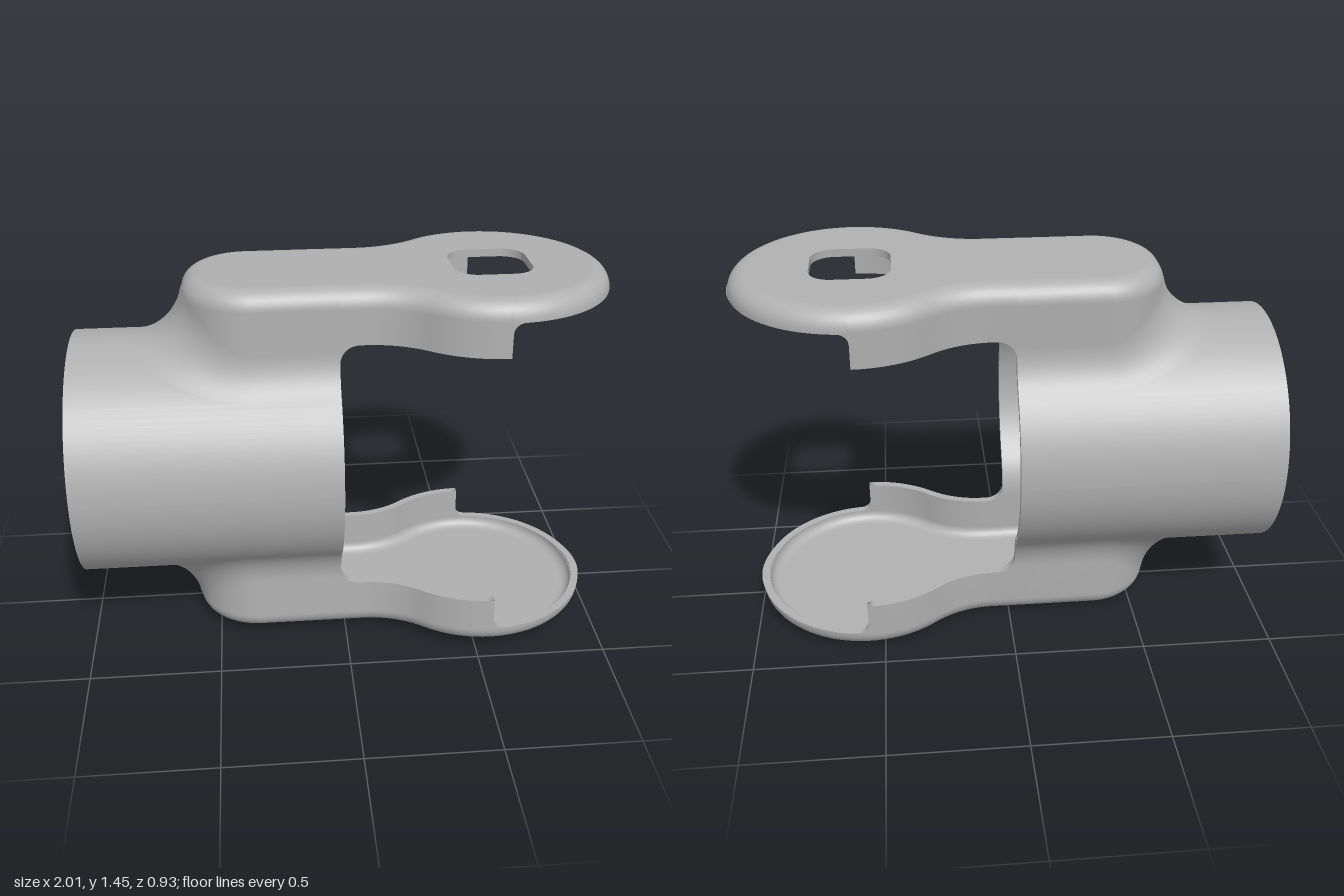
import * as THREE from 'three';

const TUBE = 0.465, WALL = 0.03, BLEND = 0.22;   // tube radius, shell thickness, blend radius
const TOP = 0.71, ROUND = 0.07, RIM = 0.64;      // arm height, edge rounding, height where it starts
const NECK = 0.27, HEAD = 0.44, HEAD_X = 0.56, FRONT = -0.02;

// Closed or open surface through columns of points
function grid(cols, closed = true, flip = false) {
  const n = cols.length, m = cols[0].length, index = [];
  for (let i = 0; i < (closed ? n : n - 1); i++) {
    for (let j = 0; j < m - 1; j++) {
      const a = i * m + j, b = ((i + 1) % n) * m + j;
      if (flip) index.push(a, b + 1, b, a, a + 1, b + 1);
      else index.push(a, b, b + 1, a, b + 1, a + 1);
    }
  }
  const g = new THREE.BufferGeometry();
  g.setAttribute('position', new THREE.Float32BufferAttribute(cols.flat(2), 3));
  g.setIndex(index);
  g.computeVertexNormals();
  return g;
}

// Half of the arm's plan outline, rear to tip: position, outward normal, lower edge height
function halfOutline() {
  const pts = [];
  const add = (x, z, nx, nz, bottom) => pts.push({ x, z, nx, nz, bottom });
  const skirt = 0.505, cr = 0.24;
  // rounded rear end
  add(-0.58, 0, -1, 0, 0);
  for (let i = 0; i <= 16; i++) {
    const a = (i / 16) * Math.PI / 2;
    add(-0.58 + cr - cr * Math.cos(a), NECK - cr + cr * Math.sin(a), -Math.cos(a), Math.sin(a), 0);
  }
  // neck, with the cut-out rising from the tube mouth to the skirt
  for (const b of [0, 0.33, 0.35, 0.37, 0.39, 0.41]) add(FRONT, NECK, 0, 1, b);
  for (let i = 0; i <= 8; i++) {
    const a = (i / 8) * Math.PI / 2;
    add(FRONT + 0.07 * (1 - Math.cos(a)), NECK, 0, 1, skirt - 0.07 + 0.07 * Math.sin(a));
  }
  // concave sweep into the round head
  const sx = 0.07, dx = HEAD_X - sx;
  const R = (dx * dx + NECK * NECK - HEAD * HEAD) / (2 * (HEAD - NECK));
  const end = Math.atan2(dx, NECK + R);
  for (let i = 0; i <= 12; i++) {
    const p = end * i / 12;
    add(sx + R * Math.sin(p), NECK + R - R * Math.cos(p), -Math.sin(p), Math.cos(p), skirt);
  }
  const head = (p, b) => add(HEAD_X - HEAD * Math.sin(p), HEAD * Math.cos(p), -Math.sin(p), Math.cos(p), b);
  for (let i = 1; i <= 10; i++) head(end * (1 - i / 10), skirt);
  // step up to the shallow rim
  const step = 0.04;
  for (let i = 0; i <= 6; i++) {
    const a = (i / 6) * Math.PI / 2;
    head(-step * (1 - Math.cos(a)) / HEAD, 0.595 + step * Math.sin(a));
  }
  const p0 = -step / HEAD;
  for (let i = 1; i <= 28; i++) head(p0 + (-Math.PI / 2 - p0) * i / 28, 0.635);
  return pts;
}

// Ball centre of the blend between arm wall and tube
function ball(p) {
  const x = p.x + BLEND * p.nx, z = p.z + BLEND * p.nz, r = TUBE + BLEND;
  return { x, z, y: Math.sqrt(Math.max(0.001, r * r - z * z)), angle: Math.asin(Math.min(1, z / r)) };
}

// One column of the arm shell, inset by d: blend, wall, rounded edge
function column(p, d) {
  const c = ball(p), R = BLEND + d, col = [];
  const by = -Math.cos(c.angle), bz = -Math.sin(c.angle);
  const omega = Math.acos(THREE.MathUtils.clamp(-p.nz * bz, -1, 1)), s = Math.sin(omega);
  const at = (y) => {
    const v = (c.y - y) * s / (R * -by);
    return v >= 1 ? omega : Math.min(omega, Math.asin(Math.max(0, v)));
  };
  const t1 = p.bottom === 0 ? omega : at(p.bottom), t0 = Math.min(t1, at(RIM));
  for (let i = 0; i <= 12; i++) {
    const t = t1 + (t0 - t1) * i / 12;
    const ka = Math.sin(omega - t) / s, kb = Math.sin(t) / s;
    col.push([c.x - R * ka * p.nx, Math.max(p.bottom, c.y + R * kb * by), c.z + R * (-ka * p.nz + kb * bz)]);
  }
  const r = ROUND - d;
  for (let i = 0; i <= 8; i++) {
    const a = (i / 8) * Math.PI / 2, inset = d + r * (1 - Math.cos(a));
    col.push([p.x - inset * p.nx, RIM + r * Math.sin(a), p.z - inset * p.nz]);
  }
  return col;
}

function makeArm(half, material, withHole) {
  const arm = new THREE.Group();
  const mirrored = half.slice(1, -1).reverse().map((p) => ({ ...p, z: -p.z, nz: -p.nz }));
  const loop = [...half, ...mirrored];
  const part = (name, g) => {
    const mesh = new THREE.Mesh(g, material);
    mesh.name = name;
    arm.add(mesh);
  };
  const outer = loop.map((p) => column(p, 0)), inner = loop.map((p) => column(p, WALL));
  part('armOuterShell', grid(outer));
  part('armInnerShell', grid(inner, true, true));
  part('armLowerEdge', grid(loop.map((p, i) => [inner[i][0], outer[i][0]])));

  // flat plate, optionally with a rounded square hole
  const pts = loop.map((p) => new THREE.Vector2(p.x - ROUND * p.nx, p.z - ROUND * p.nz))
    .filter((v, i, all) => i === 0 || v.distanceTo(all[i - 1]) > 1e-4);
  const shape = new THREE.Shape(pts);
  if (withHole) {
    const h = 0.147, r = 0.085, hole = new THREE.Path();
    [[1, 1], [-1, 1], [-1, -1], [1, -1]].forEach(([sx, sz], k) => {
      hole.absarc(HEAD_X + sx * (h - r), sz * (h - r), r, k * Math.PI / 2, (k + 1) * Math.PI / 2, false);
    });
    shape.holes.push(hole);
  }
  const plate = new THREE.ExtrudeGeometry(shape, { depth: WALL, bevelEnabled: false, curveSegments: 10 });
  plate.rotateX(-Math.PI / 2).translate(0, TOP - WALL, 0);
  part('armPlate', plate);
  return arm;
}

// Tube with an inner lip at the rear and openings where the arms blend in
function makeTube(half, material) {
  const tube = new THREE.Group();
  tube.name = 'tube';
  const quarter = half.filter((p) => p.bottom === 0).map((p) => {
    const c = ball(p);
    return [c.angle, c.x];
  });
  const last = quarter[quarter.length - 1][0];
  for (let i = 1; i <= 16; i++) quarter.push([last + (Math.PI / 2 - last) * i / 16, FRONT]);
  const back = [...quarter].reverse();
  const ring = [
    ...quarter,
    ...back.map(([a, x]) => [Math.PI - a, x]),
    ...quarter.map(([a, x]) => [Math.PI + a, x]),
    ...back.map(([a, x]) => [2 * Math.PI - a, x]),
  ];
  const bore = TUBE - WALL, lip = 0.375, lipX = -0.92;
  const profile = (x) => [[x, bore], [lipX, bore], [lipX, lip], [-1, lip], [-1, TUBE], [x, TUBE], [x, bore]];
  const names = ['tubeBore', 'lipStep', 'lipBore', 'rearFace', 'tubeOuter', 'frontFace'];
  names.forEach((name, k) => {
    const cols = ring.map(([a, end]) => profile(end).slice(k, k + 2)
      .map(([x, r]) => [x, r * Math.cos(a), r * Math.sin(a)]));
    const mesh = new THREE.Mesh(grid(cols, false), material);
    mesh.name = name;
    tube.add(mesh);
  });
  return tube;
}

export function createModel() {
  const grey = new THREE.MeshStandardMaterial({ color: 0xb0b0b0, side: THREE.DoubleSide });
  grey.name = 'grey';
  const half = halfOutline();
  const body = new THREE.Group();
  body.name = 'forkBody';
  const upper = makeArm(half, grey, true), lower = makeArm(half, grey, false);
  upper.name = 'upperArm';
  lower.name = 'lowerArm';
  lower.rotation.x = Math.PI;
  body.add(makeTube(half, grey), upper, lower);
  // slight twist about the tube axis
  body.rotation.x = -0.042;
  body.position.y = 0.725;
  const model = new THREE.Group();
  model.name = 'forkedTubeBracket';
  model.add(body);
  return model;
}
